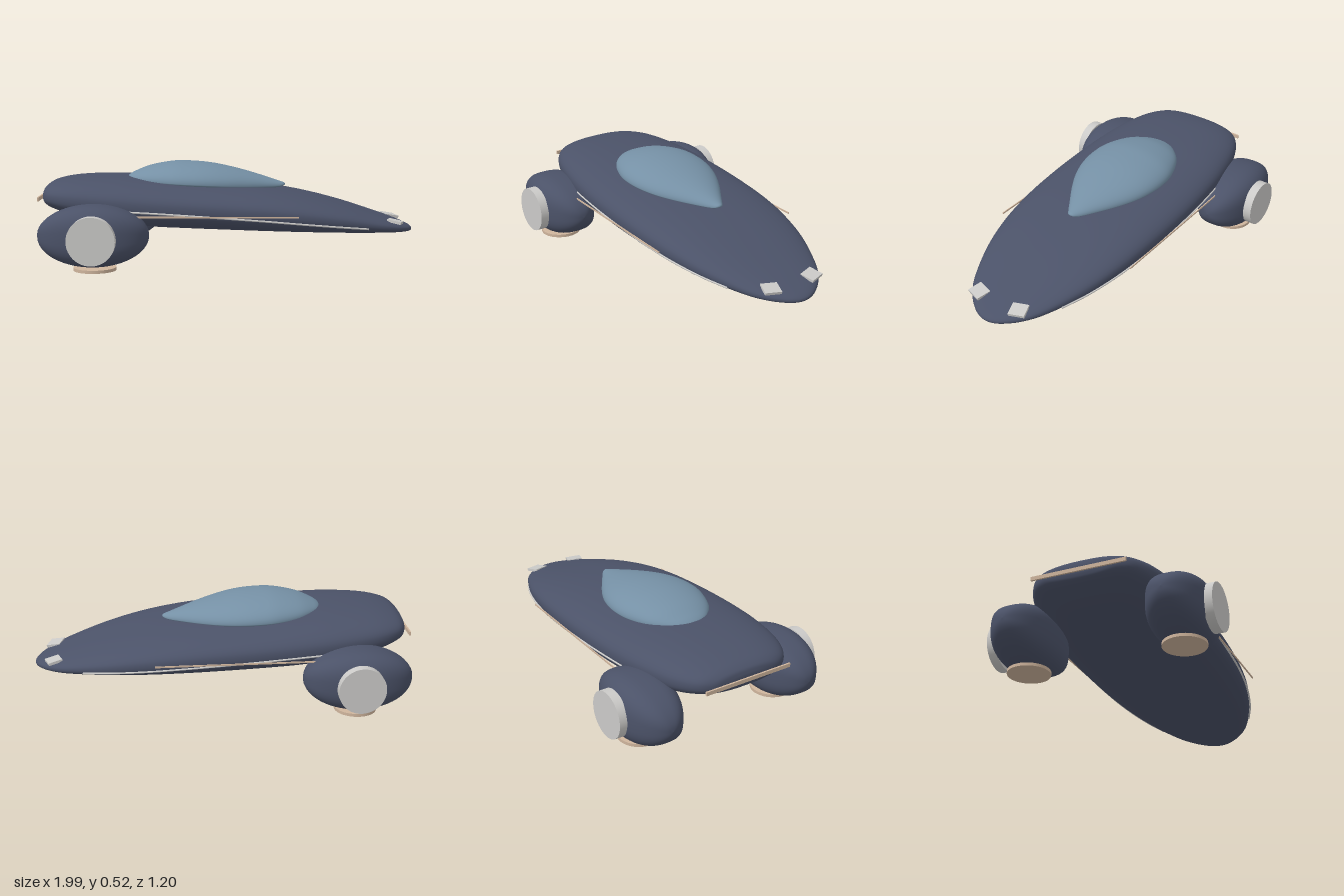
import * as THREE from 'three';

const paint = (name, color) => Object.assign(new THREE.MeshStandardMaterial({ color }), { name });

// Smooth loft along x. Each station is [x, halfWidth, top, bottom];
// mid is the height fraction of the widest point, n the superellipse exponent.
function loft(stations, mid, n, steps = 72, sides = 56) {
  const a = new THREE.CatmullRomCurve3(
    stations.map(([x, w]) => new THREE.Vector3(x, w, 0)), false, 'catmullrom', 0.5);
  const b = new THREE.CatmullRomCurve3(
    stations.map(([, , t, u]) => new THREE.Vector3(t, u, 0)), false, 'catmullrom', 0.5);
  const round = (v) => Math.sign(v) * Math.abs(v) ** (2 / n);
  const pos = [], index = [];
  for (let i = 0; i <= steps; i++) {
    const { x, y: w } = a.getPoint(i / steps);
    const { x: top, y: bottom } = b.getPoint(i / steps);
    const centre = bottom + (top - bottom) * mid;
    for (let j = 0; j < sides; j++) {
      const angle = (j / sides) * Math.PI * 2;
      const s = round(Math.sin(angle));
      pos.push(x, centre + s * (s > 0 ? top - centre : centre - bottom), w * round(Math.cos(angle)));
      if (i === steps) continue;
      const p = i * sides + j, q = i * sides + (j + 1) % sides;
      index.push(p, p + sides, q, q, p + sides, q + sides);
    }
  }
  const g = new THREE.BufferGeometry();
  g.setAttribute('position', new THREE.Float32BufferAttribute(pos, 3));
  g.setIndex(index);
  g.computeVertexNormals();
  return g;
}

export function createModel() {
  const model = new THREE.Group();
  model.name = 'hoverCar';
  const bodyPaint = paint('slate blue', 0x4b5268);
  const glass = paint('canopy blue', 0x7590a5);
  const light = paint('pale grey', 0xcbcac8);
  const tan = paint('warm tan', 0xcfb59d);

  const add = (name, geometry, material, x = 0, y = 0, z = 0) => {
    const mesh = new THREE.Mesh(geometry, material);
    mesh.name = name;
    mesh.position.set(x, y, z);
    model.add(mesh);
    return mesh;
  };

  // Long low hull, nose toward +x
  add('hull', loft([
    [-0.99, 0, 0.345, 0.345], [-0.987, 0.12, 0.372, 0.318], [-0.972, 0.205, 0.398, 0.295],
    [-0.92, 0.275, 0.422, 0.27], [-0.8, 0.337, 0.44, 0.235], [-0.6, 0.383, 0.445, 0.2],
    [-0.4, 0.405, 0.436, 0.182], [-0.2, 0.413, 0.422, 0.174], [0, 0.411, 0.406, 0.167],
    [0.2, 0.4, 0.385, 0.16], [0.4, 0.373, 0.351, 0.154], [0.6, 0.322, 0.302, 0.149],
    [0.8, 0.236, 0.24, 0.145], [0.9, 0.165, 0.206, 0.143], [0.96, 0.093, 0.183, 0.143],
    [0.985, 0.04, 0.168, 0.147], [0.992, 0, 0.156, 0.156],
  ], 0.48, 2.45, 112), bodyPaint);

  // Teardrop canopy
  add('canopy', loft([
    [-0.545, 0, 0.437, 0.437], [-0.535, 0.06, 0.449, 0.427], [-0.5, 0.118, 0.468, 0.415],
    [-0.42, 0.185, 0.498, 0.4], [-0.3, 0.232, 0.519, 0.386], [-0.2, 0.243, 0.519, 0.38],
    [-0.1, 0.232, 0.51, 0.376], [0, 0.2, 0.491, 0.373], [0.1, 0.148, 0.466, 0.372],
    [0.2, 0.085, 0.436, 0.374], [0.27, 0.04, 0.413, 0.379], [0.298, 0.018, 0.404, 0.388],
    [0.305, 0, 0.396, 0.396],
  ], 0.26, 2), glass);

  // Pod outline along its length
  const podStations = [];
  for (let i = 0; i <= 16; i++) {
    const u = -Math.cos((i / 16) * Math.PI);
    const r = Math.sqrt(Math.max(0, 1 - u * u));
    podStations.push([0.285 * u, 0.158 * r, 0.158 * r, -0.158 * r]);
  }
  const pod = loft(podStations, 0.5, 2.8, 48, 48);

  for (const side of [1, -1]) {
    const label = side > 0 ? 'left' : 'right';
    // Rear hover pod with hub cap and ground pad
    add(label + 'Pod', pod, bodyPaint, -0.685, 0.177, side * 0.412);
    add(label + 'HubCap', new THREE.CylinderGeometry(0.122, 0.122, 0.048, 48), light,
      -0.675, 0.174, side * 0.574).rotation.x = Math.PI / 2;
    add(label + 'GroundPad', new THREE.CylinderGeometry(0.11, 0.11, 0.016, 48), tan,
      -0.678, 0.008, side * 0.415);

    // Headlamp plate on the nose
    add(label + 'Headlamp', new THREE.BoxGeometry(0.076, 0.014, 0.086), light,
      0.887, 0.209, side * 0.127).rotation.set(0, -side * 0.31, -0.2, 'ZYX');

    // Pale strip along the flank
    const path = new THREE.CatmullRomCurve3([
      [-0.52, 0.293, 0.394], [-0.35, 0.286, 0.408], [-0.2, 0.277, 0.413], [0, 0.263, 0.411],
      [0.2, 0.247, 0.4], [0.4, 0.227, 0.373], [0.6, 0.205, 0.322], [0.73, 0.189, 0.27],
    ].map(([x, y, z]) => new THREE.Vector3(x, y, side * z)));
    add(label + 'FlankStrip', new THREE.TubeGeometry(path, 60, 0.005, 8), light);

    // Straight side trim rail
    add(label + 'TrimRail', new THREE.BoxGeometry(0.86, 0.008, 0.005), tan,
      -0.07, 0.271, side * 0.419);
  }

  // Tail bar
  add('tailBar', new THREE.BoxGeometry(0.009, 0.02, 0.5), tan, -0.9945, 0.34, 0);
  return model;
}
